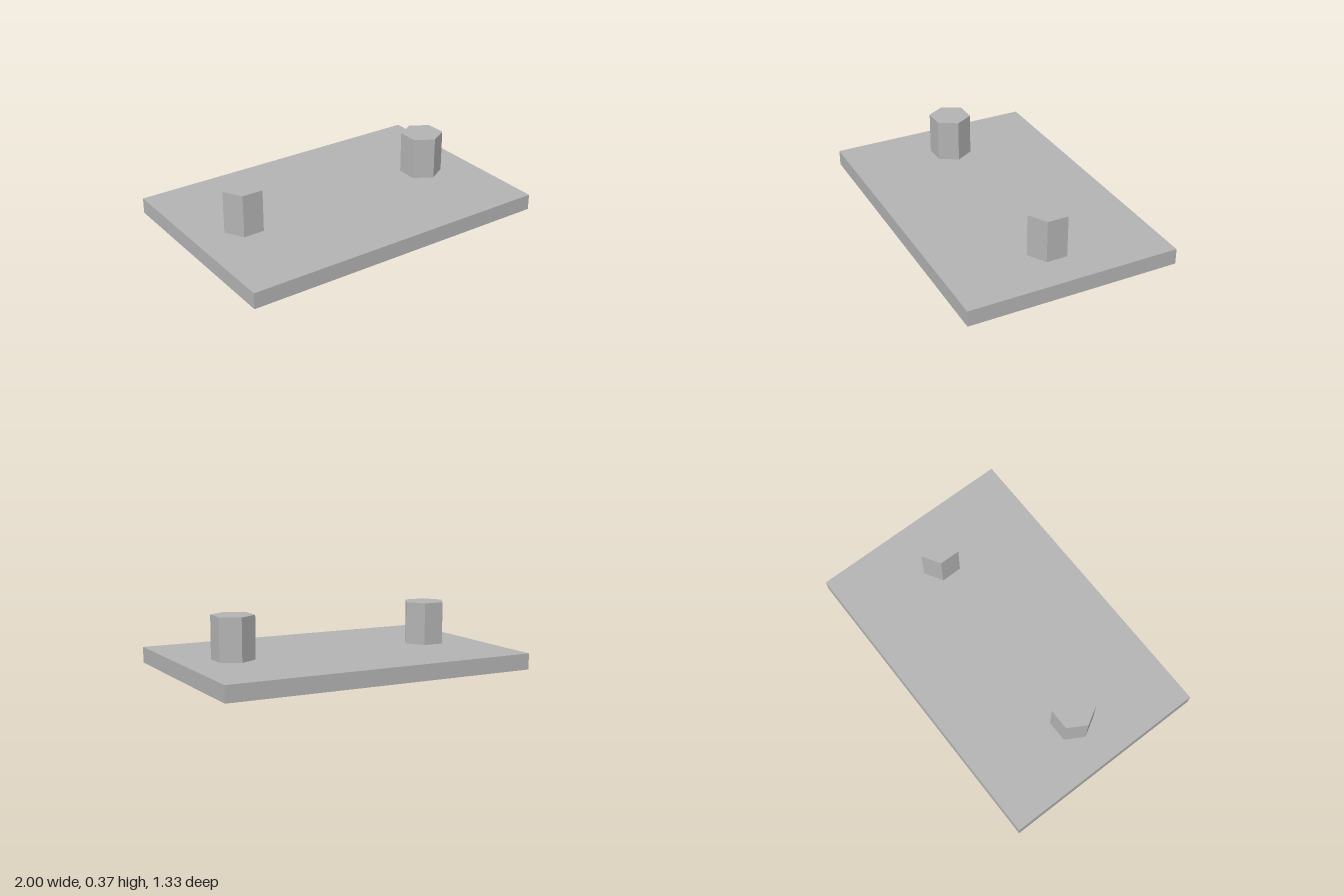
import * as THREE from 'three';

export function createModel() {
  const model = new THREE.Group();
  const grey = new THREE.MeshStandardMaterial({ color: 0xb3b3b3, flatShading: true });
  grey.name = 'grey';

  const baseHeight = 0.1;
  const pegHeight = 0.267;
  const pegRadius = 0.133;

  // Flat rectangular base
  const base = new THREE.Mesh(new THREE.BoxGeometry(2, baseHeight, 1.333), grey);
  base.name = 'basePlate';
  base.position.y = baseHeight / 2;
  model.add(base);

  // Hexagonal pegs, one turned by half a side
  const addPeg = (name, x, turn) => {
    const peg = new THREE.Mesh(new THREE.CylinderGeometry(pegRadius, pegRadius, pegHeight, 6), grey);
    peg.name = name;
    peg.position.set(x, baseHeight + pegHeight / 2, 0);
    peg.rotation.y = turn;
    model.add(peg);
  };
  addPeg('leftPeg', 0.667, 0);
  addPeg('rightPeg', -0.667, Math.PI / 6);

  return model;
}
